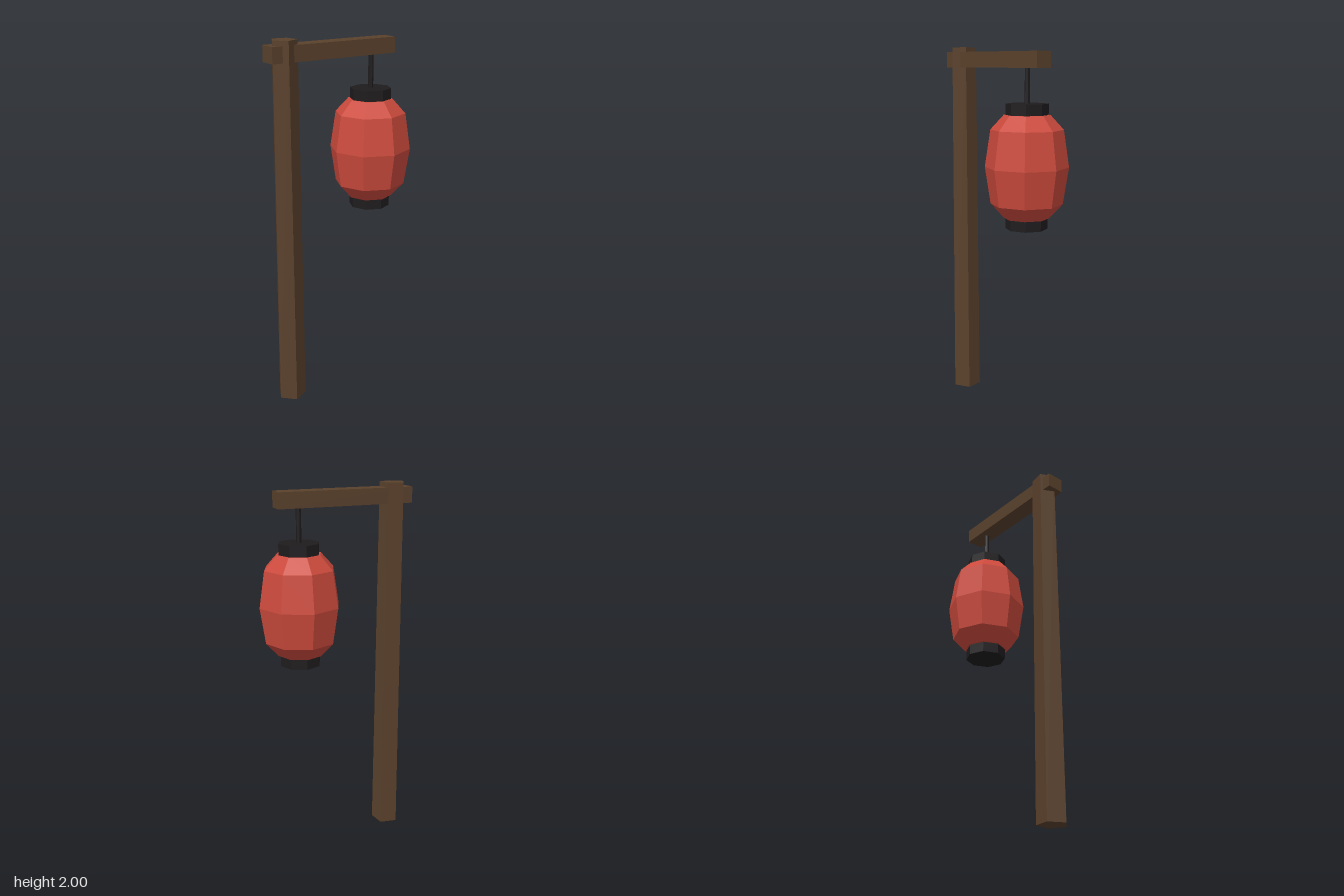
import * as THREE from 'three';

const material = (color) => new THREE.MeshStandardMaterial({ color, flatShading: true });

export function createModel() {
  const model = new THREE.Group();
  const wood = material(0x5a412c);
  const paper = material(0xcc4a3d);
  const iron = material(0x1f1c1e);

  const add = (parent, name, geometry, mat, x, y, z = 0) => {
    const mesh = new THREE.Mesh(geometry, mat);
    mesh.name = name;
    mesh.position.set(x, y, z);
    parent.add(mesh);
    return mesh;
  };

  // Slightly tapered five-sided post, turned a little off axis
  const post = add(model, 'post', new THREE.CylinderGeometry(0.07, 0.08, 2, 5), wood, -0.333, 1);
  post.rotation.y = -0.15;

  // Crossbeam through the top of the post
  add(model, 'beam', new THREE.BoxGeometry(0.747, 0.084, 0.097), wood, -0.051, 1.933, -0.001);

  // Hanging lantern
  const lantern = new THREE.Group();
  lantern.name = 'lantern';
  lantern.position.set(0.2, 1.38, 0);
  model.add(lantern);

  add(lantern, 'hangingRod', new THREE.CylinderGeometry(0.014, 0.014, 0.24, 6), iron, 0, 0.42);

  // Eight-sided faceted paper shade, profile from bottom to top
  const profile = [[0.122, -0.272], [0.192, -0.196], [0.222, 0], [0.192, 0.196], [0.122, 0.272]]
    .map(([r, y]) => new THREE.Vector2(r, y));
  add(lantern, 'shade', new THREE.LatheGeometry(profile, 8), paper, 0, 0);

  // Matching caps close both ends of the shade
  for (const [name, y] of [['topCap', 0.3], ['bottomCap', -0.3]]) {
    add(lantern, name, new THREE.CylinderGeometry(0.112, 0.112, 0.06, 8), iron, 0, y);
  }
  // Narrow lips cover the gap between shade and caps
  for (const [name, y] of [['topLip', 0.271], ['bottomLip', -0.271]]) {
    add(lantern, name, new THREE.CylinderGeometry(0.122, 0.122, 0.002, 8), paper, 0, y);
  }

  return model;
}
